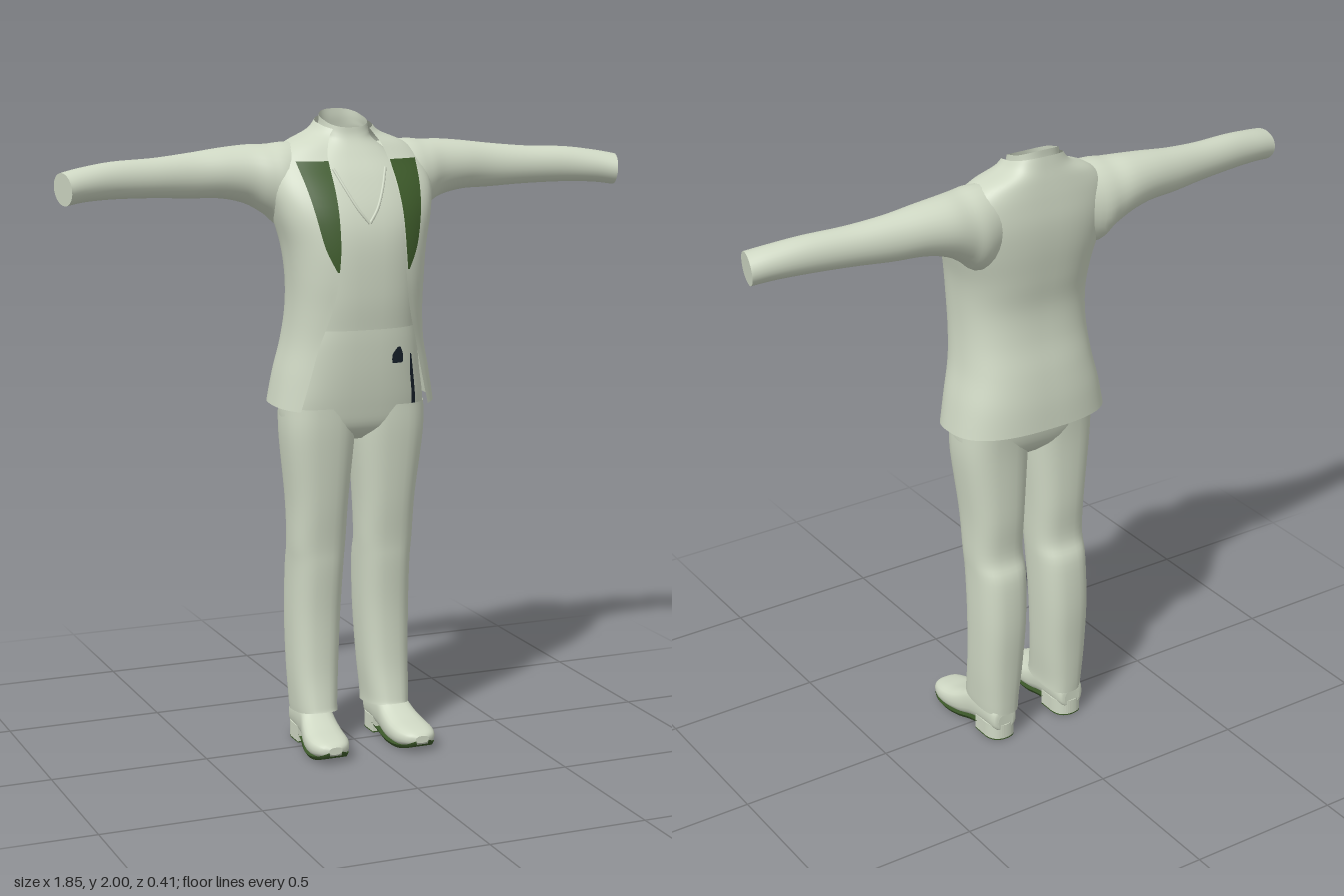
import * as THREE from 'three';

const cloth = new THREE.MeshStandardMaterial({ color: 0xcfd8c4, side: THREE.DoubleSide });
cloth.name = 'pale cloth';
const green = new THREE.MeshStandardMaterial({ color: 0x3d5a2a, side: THREE.DoubleSide });
green.name = 'dark green';
const navy = new THREE.MeshStandardMaterial({ color: 0x18222c, side: THREE.DoubleSide });
navy.name = 'dark navy';

// Catmull-Rom subdivision of key rows
function smooth(rows, n = 5) {
  const out = [];
  for (let i = 0; i < rows.length - 1; i++) {
    const p = [rows[Math.max(i - 1, 0)], rows[i], rows[i + 1], rows[Math.min(i + 2, rows.length - 1)]];
    for (let k = 0; k < n; k++) {
      const t = k / n;
      out.push(p[1].map((_, c) => {
        const [a, b, d, e] = p.map(r => r[c]);
        return b + 0.5 * t * (d - a + t * (2 * a - 5 * b + 4 * d - e + t * (3 * (b - d) + e - a)));
      }));
    }
  }
  out.push(rows[rows.length - 1]);
  return out;
}

// Skin over rings of [x, y, z] points, with optional flat end caps
function skin(rings, { closed = true, capStart = false, capEnd = false } = {}) {
  const n = rings[0].length, pos = rings.flat(2), idx = [];
  for (let i = 0; i < rings.length - 1; i++)
    for (let j = 0; j < (closed ? n : n - 1); j++) {
      const a = i * n + j, b = i * n + (j + 1) % n;
      idx.push(a, b, a + n, b, b + n, a + n);
    }
  const cap = (ring, end) => {
    const base = pos.length / 3;
    pos.push(...ring.flat());
    pos.push(...[0, 1, 2].map(c => ring.reduce((s, p) => s + p[c], 0) / n));
    for (let j = 0; j < n; j++) {
      const a = base + j, b = base + (j + 1) % n;
      idx.push(base + n, end ? a : b, end ? b : a);
    }
  };
  if (capStart) cap(rings[0], false);
  if (capEnd) cap(rings[rings.length - 1], true);
  const g = new THREE.BufferGeometry();
  g.setAttribute('position', new THREE.Float32BufferAttribute(pos, 3));
  g.setIndex(idx);
  g.computeVertexNormals();
  return g;
}

// Mirror across x, keeping faces outward
function mirrored(g) {
  const m = g.index ? g.toNonIndexed() : g.clone();
  m.scale(-1, 1, 1);
  for (const attr of [m.attributes.position, m.attributes.normal])
    for (let i = 0; i < attr.count; i += 3) {
      const v = [attr.getX(i), attr.getY(i), attr.getZ(i)];
      attr.setXYZ(i, attr.getX(i + 1), attr.getY(i + 1), attr.getZ(i + 1));
      attr.setXYZ(i + 1, ...v);
    }
  return m;
}

const POW = 2.6;
const sup = v => Math.sign(v) * Math.abs(v) ** (2 / POW);

// Body ring; row = [y, halfWidth, zFront, zBack, tilt, openHalfWidth]
function bodyRing([y, w, zf, zb, tilt, open = 0], n, x0 = 0) {
  const a0 = open ? Math.asin(Math.min(1, (open / w) ** (POW / 2))) : 0;
  return Array.from({ length: n }, (_, j) => {
    const a = a0 + (2 * Math.PI - 2 * a0) * j / (open ? n - 1 : n);
    return [x0 + w * sup(Math.sin(a)), y - tilt * Math.cos(a), (zf + zb) / 2 + (zf - zb) / 2 * sup(Math.cos(a))];
  });
}

// Front depth of a body surface at (x, y)
function frontZ(rows, x, y) {
  let i = 0;
  while (i < rows.length - 2 && rows[i + 1][0] < y) i++;
  const t = (y - rows[i][0]) / (rows[i + 1][0] - rows[i][0]);
  const [, w, zf, zb] = rows[i].map((v, c) => v + t * (rows[i + 1][c] - v));
  return (zf + zb) / 2 + (zf - zb) / 2 * Math.max(0, 1 - Math.abs(x / w) ** POW) ** (1 / POW);
}

// Thin painted patch on a front surface; keys = [y, xInner, xOuter]
const patch = (rows, keys, lift) => skin(smooth(keys, 4).map(([y, a, b]) =>
  Array.from({ length: 7 }, (_, j) => {
    const x = a + (b - a) * j / 6;
    return [x, y, frontZ(rows, x, y) + lift];
  })), { closed: false });

export function createModel() {
  const model = new THREE.Group();
  model.name = 'suit';
  const add = (name, geo, mat = cloth) => {
    const m = new THREE.Mesh(geo, mat);
    m.name = name;
    model.add(m);
  };
  const pair = (name, geo, mat) => {
    add(name + 'Left', geo, mat);
    add(name + 'Right', mirrored(geo), mat);
  };

  // Shirt with open tilted neck
  const shirt = smooth([
    [1.345, 0.192, 0.126, -0.14, 0], [1.45, 0.192, 0.137, -0.145, 0], [1.6, 0.2, 0.137, -0.16, 0],
    [1.7, 0.22, 0.115, -0.175, 0], [1.8, 0.205, 0.066, -0.178, 0], [1.87, 0.14, 0.022, -0.172, 0.005],
    [1.92, 0.084, -0.005, -0.165, 0.015], [1.95, 0.074, -0.016, -0.16, 0.022], [1.975, 0.071, -0.02, -0.16, 0.025]]);
  add('shirt', skin(shirt.map(r => bodyRing(r, 48))));

  // V seam down the chest
  const seam = [[0.085, 1.83], [0.06, 1.77], [0.03, 1.71], [0, 1.67]]
    .map(([x, y]) => new THREE.Vector3(x, y, frontZ(shirt, x, y)));
  pair('neckSeam', new THREE.TubeGeometry(new THREE.CatmullRomCurve3(seam), 12, 0.005, 6), cloth);

  // Jacket shell, open at the front
  const jacket = smooth([
    [1.105, 0.263, 0.135, -0.205, 0.012, 0.212], [1.2, 0.245, 0.138, -0.2, 0.006, 0.186],
    [1.3, 0.222, 0.144, -0.187, 0, 0.16], [1.4, 0.212, 0.154, -0.168, 0, 0.13],
    [1.5, 0.213, 0.163, -0.163, 0, 0.112], [1.6, 0.224, 0.161, -0.178, 0, 0.106],
    [1.7, 0.25, 0.138, -0.192, 0, 0.104], [1.78, 0.262, 0.096, -0.196, 0, 0.102],
    [1.85, 0.245, 0.042, -0.19, 0, 0.1], [1.9, 0.195, 0.014, -0.182, 0.005, 0.09],
    [1.935, 0.115, -0.002, -0.174, 0.012, 0.075], [1.962, 0.086, -0.008, -0.168, 0.02, 0.06]]);
  add('jacket', skin(jacket.map(r => bodyRing(r, 56)), { closed: false }));

  // Green lapels
  pair('lapel', patch(jacket, [[1.53, 0.112, 0.118], [1.6, 0.107, 0.15], [1.7, 0.105, 0.172],
    [1.8, 0.103, 0.189], [1.855, 0.101, 0.197]], 0.007), green);

  // Sleeves; row = [x, yCentre, yRadius, zCentre, zRadius, endSlant]
  const sleeve = smooth([
    [0.1, 1.8, 0.1, -0.085, 0.07, 0], [0.2, 1.778, 0.13, -0.085, 0.105, 0], [0.26, 1.795, 0.108, -0.09, 0.1, 0],
    [0.32, 1.812, 0.09, -0.1, 0.088, 0], [0.4, 1.818, 0.077, -0.1, 0.075, 0], [0.5, 1.814, 0.069, -0.095, 0.061, 0],
    [0.62, 1.812, 0.06, -0.08, 0.053, 0], [0.75, 1.811, 0.056, -0.062, 0.05, 0.1],
    [0.85, 1.803, 0.051, -0.042, 0.052, 0.18], [0.912, 1.793, 0.049, -0.025, 0.055, 0.22]]);
  pair('sleeve', skin(sleeve.map(([x, yc, ry, zc, rz, slant]) => Array.from({ length: 28 }, (_, j) => {
    const a = j / 28 * Math.PI * 2, c = Math.cos(a), s = Math.sin(a);
    return [x - slant * rz * s + slant * 0.3 * ry * c, yc + ry * c, zc + rz * s];
  })), { capEnd: true }), cloth);

  // Trouser seat and legs
  const seat = smooth([
    [0.99, 0.13, 0.03, -0.09, 0], [1.03, 0.218, 0.075, -0.13, 0], [1.1, 0.231, 0.094, -0.15, 0],
    [1.2, 0.216, 0.109, -0.155, 0], [1.3, 0.2, 0.117, -0.14, 0], [1.37, 0.184, 0.118, -0.13, 0]]);
  add('trouserSeat', skin(seat.map(r => bodyRing(r, 48)), { capStart: true }));
  const leg = smooth([
    [0.105, 0.056, 0.188, 0.056, -0.146], [0.14, 0.055, 0.191, 0.05, -0.149], [0.25, 0.045, 0.197, 0.034, -0.156],
    [0.42, 0.035, 0.2, 0.03, -0.165], [0.58, 0.028, 0.2, 0.041, -0.155], [0.66, 0.025, 0.203, 0.046, -0.128],
    [0.8, 0.019, 0.208, 0.064, -0.135], [1.0, 0.003, 0.23, 0.084, -0.136], [1.1, 0.0, 0.23, 0.088, -0.142]]);
  pair('trouserLeg', skin(leg.map(([y, xi, xo, zf, zb], i) =>
    bodyRing([y, (xo - xi) / 2, zf, zb, i < 6 ? -0.014 * (1 - i / 6) : 0], 32, (xi + xo) / 2)), { capStart: true }), cloth);

  // Dark chain and clip on the left hip
  add('hipChain', patch(seat, [[1.03, 0.165, 0.182], [1.12, 0.16, 0.174], [1.2, 0.149, 0.162], [1.26, 0.146, 0.152]], 0.006), navy);
  add('hipClip', patch(seat, [[1.235, 0.08, 0.118], [1.262, 0.08, 0.118], [1.285, 0.098, 0.108]], 0.006), navy);

  // Shoes; row = [z, xCentre, halfWidth, yBottom, yTop]
  const shoe = smooth([
    [-0.14, 0.13, 0.028, 0.035, 0.09], [-0.128, 0.13, 0.045, 0.03, 0.12], [-0.06, 0.13, 0.052, 0.028, 0.14],
    [0, 0.132, 0.055, 0.018, 0.138], [0.05, 0.137, 0.062, 0.008, 0.106], [0.1, 0.142, 0.067, 0.006, 0.085],
    [0.15, 0.145, 0.065, 0.01, 0.075], [0.19, 0.147, 0.048, 0.02, 0.066], [0.207, 0.147, 0.022, 0.032, 0.055]], 4);
  pair('shoe', skin(shoe.map(([z, cx, hw, yb, yt]) => Array.from({ length: 24 }, (_, j) => {
    const a = j / 24 * Math.PI * 2;
    return [cx - hw * sup(Math.sin(a)), (yb + yt) / 2 + (yt - yb) / 2 * sup(Math.cos(a)), z];
  })), { capStart: true, capEnd: true }), cloth);

  // Green sole under the front of the shoe
  const sole = shoe.filter(r => r[0] > -0.05);
  pair('sole', skin(sole.map(([z, cx, hw, yb]) => [
    [cx + hw * 0.97, yb + 0.008, z], [cx + hw * 0.85, yb - 0.004, z],
    [cx - hw * 0.85, yb - 0.004, z], [cx - hw * 0.97, yb + 0.008, z]]), { closed: false }), green);

  // Heel blocks with green undersides
  const heel = new THREE.Shape();
  heel.moveTo(0.08, 0.035);
  heel.lineTo(0.18, 0.035);
  heel.lineTo(0.18, 0.095);
  heel.quadraticCurveTo(0.175, 0.143, 0.13, 0.143);
  heel.quadraticCurveTo(0.085, 0.143, 0.08, 0.095);
  const slab = (depth, y) => new THREE.ExtrudeGeometry(heel, { depth, bevelEnabled: false, curveSegments: 10 })
    .rotateX(-Math.PI / 2).translate(0, y, 0);
  pair('heel', slab(0.05, 0.004), cloth);
  pair('heelTip', slab(0.004, 0), green);

  return model;
}
